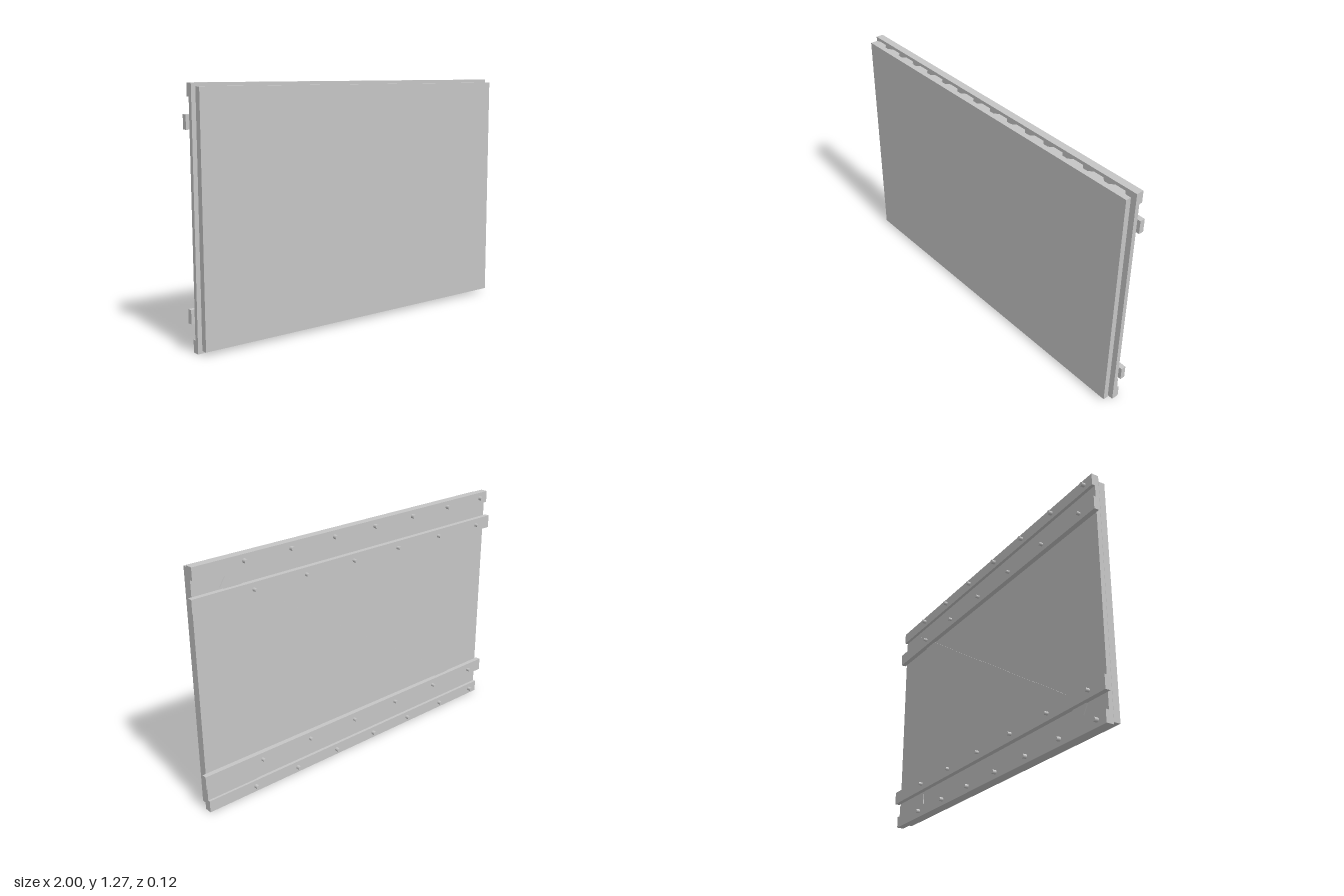
import * as THREE from 'three';

export function createModel() {
  const model = new THREE.Group();
  const grey = new THREE.MeshStandardMaterial({ color: 0xc5c5c5 });
  grey.name = 'plain grey';

  const add = (name, geometry, x = 0, y = 0, z = 0) => {
    const mesh = new THREE.Mesh(geometry, grey);
    mesh.name = name;
    mesh.position.set(x, y, z);
    model.add(mesh);
    return mesh;
  };
  // box given by its limits on each axis
  const slab = (name, x0, x1, y0, y1, z0, z1) =>
    add(name, new THREE.BoxGeometry(x1 - x0, y1 - y0, z1 - z0), (x0 + x1) / 2, (y0 + y1) / 2, (z0 + z1) / 2);

  // backing board
  slab('backingBoard', -0.982, 0.982, 0, 1.273, -0.011, 0.012);

  // front panel with vertical grooves in its rear face (shape is x against -z)
  const front = 0.06, floor = 0.031, rear = 0.012, half = 0.967, pitch = 0.1292;
  const panel = new THREE.Shape();
  panel.moveTo(-half, -front);
  panel.lineTo(half, -front);
  panel.lineTo(half, -floor);
  panel.lineTo(0.937, -floor);
  panel.lineTo(0.917, -rear);
  for (let k = 13; k >= 0; k--) {
    const c = -0.857 + k * pitch;
    for (const [dx, z] of [[0.035, rear], [0.015, floor], [-0.015, floor], [-0.035, rear]]) panel.lineTo(c + dx, -z);
  }
  panel.lineTo(-0.952, -rear);
  panel.lineTo(-half, -0.026);
  const panelGeometry = new THREE.ExtrudeGeometry(panel, { depth: 1.238, bevelEnabled: false });
  panelGeometry.rotateX(-Math.PI / 2);
  add('groovedFrontPanel', panelGeometry, 0, 0.018, 0);

  // straight round bolt pointing backwards from a rail
  const bolt = (x, y, z, r) => {
    const geometry = new THREE.CylinderGeometry(r, r, 0.024, 12).rotateX(-Math.PI / 2);
    add('bolt', geometry, x, y, z - 0.009);
  };

  // edge rails, flush with the board, seven bolts each
  for (const y of [0.0315, 1.2415]) {
    slab('edgeRail', -0.982, 0.982, y - 0.0315, y + 0.0315, -0.028, -0.011);
    for (let i = 0; i < 7; i++) bolt(-0.922 + i * 0.271, y, -0.028, 0.011);
  }

  // inner rails, longer and thicker, six bolts each
  for (const y of [0.179, 1.094]) {
    slab('innerRail', -1, 1, y - 0.035, y + 0.035, -0.038, -0.011);
    for (let i = 0; i < 6; i++) bolt(-0.887 + i * 0.31, y, -0.038, 0.009);
  }

  // thin diagonal brace passing under the inner rails
  const brace = add('diagonalBrace', new THREE.BoxGeometry(1.953, 0.055, 0.006), -0.005, 0.64, -0.013);
  brace.rotation.z = Math.atan2(1.046, 1.649);

  // small plate between the two lower rails
  slab('cornerPlate', 0.684, 0.982, 0.063, 0.13, -0.015, -0.011);

  return model;
}
